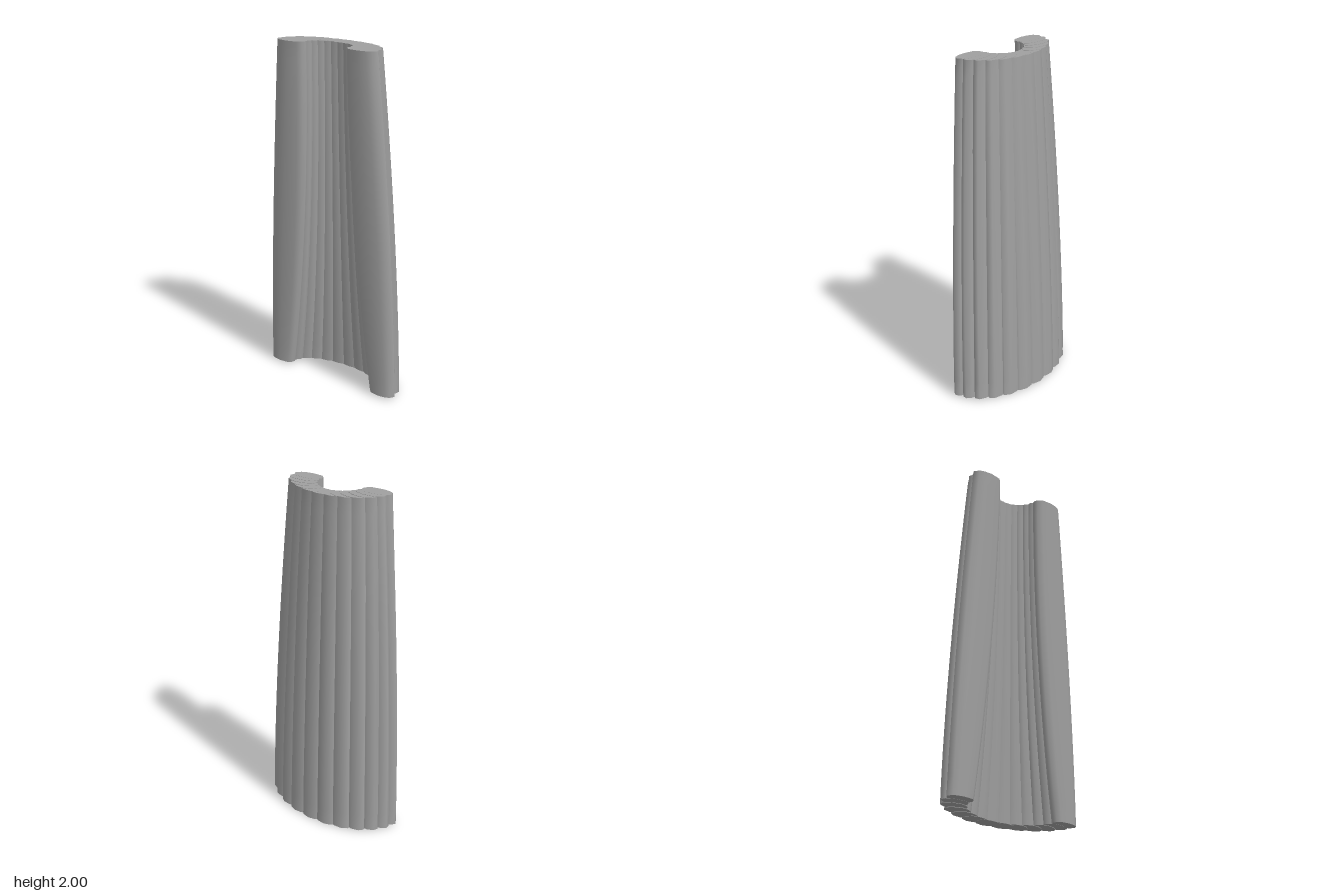
import * as THREE from 'three';
import { mergeVertices } from 'three/addons/utils/BufferGeometryUtils.js';

const LOBES = 13, ROWS = 20;
const mix = THREE.MathUtils.lerp;

// Half outline of one pleat: [fraction from outer to inner tip, half thickness]
const half = [[0, 0], [0.1, 0.6], [0.26, 0.86], [0.5, 1], [0.84, 0.85], [0.96, 0.45]];
const outline = [
  ...half,
  [1, 0],
  ...half.slice(1).reverse().map(([s, w]) => [s, -w]),
];

// Point of a pleat at angle a, height fraction t
function pleatPoint(a, t, s, w) {
  const ease = Math.pow(t, 1.6), settle = 1 - (1 - t) ** 2;
  const zc = mix(0.09, 0.127, t);
  const rx = mix(mix(0.455, 0.34, ease), mix(0.29, 0.145, settle), s);
  const rz = mix(mix(0.268, 0.213, ease), mix(0.165, 0.117, settle), s);
  const h = w * mix(0.044, 0.05, t), stretch = rx / rz;
  const side = Math.sin(a) ** 2;
  return new THREE.Vector3(
    rx * Math.sin(a) + h * stretch * Math.cos(a),
    mix(0.012 * side, 1.992 + 0.008 * side, t),
    zc - rz * Math.cos(a) + h * Math.sin(a)
  );
}

function geometryFrom(points, index) {
  const g = new THREE.BufferGeometry().setFromPoints(points);
  g.setIndex(index);
  return g;
}

// Smooth wall of a pleat, swept through its changing sections
function wallGeometry(a) {
  const points = [], index = [], n = outline.length;
  for (let r = 0; r <= ROWS; r++)
    for (const [s, w] of outline) points.push(pleatPoint(a, r / ROWS, s, w));
  for (let r = 0; r < ROWS; r++) {
    for (let i = 0; i < n; i++) {
      const p = r * n + i, q = r * n + (i + 1) % n;
      index.push(p, p + n, q, p + n, q + n, q);
    }
  }
  const g = mergeVertices(geometryFrom(points, index), 1e-5);
  g.computeVertexNormals();
  return g;
}

// Flat end of a pleat
function capGeometry(a, t) {
  const points = outline.map(([s, w]) => pleatPoint(a, t, s, w));
  const n = points.length, index = [];
  points.push(pleatPoint(a, t, 0.5, 0));
  for (let i = 0; i < n; i++) {
    const j = (i + 1) % n;
    if (t > 0.5) index.push(n, j, i);
    else index.push(n, i, j);
  }
  const g = geometryFrom(points, index);
  g.computeVertexNormals();
  return g;
}

export function createModel() {
  const model = new THREE.Group();
  model.name = 'pleatedDrape';
  const cloth = new THREE.MeshStandardMaterial({ color: 0xa0a0a0 });
  cloth.name = 'grey cloth';

  // Pleats fanned around a half oval, open to the front
  for (let k = 0; k < LOBES; k++) {
    const a = (k / (LOBES - 1) - 0.5) * Math.PI;
    const pleat = new THREE.Group();
    pleat.name = 'pleat' + (k + 1);
    const parts = { wall: wallGeometry(a), topEnd: capGeometry(a, 1), bottomEnd: capGeometry(a, 0) };
    for (const [name, g] of Object.entries(parts)) {
      const mesh = new THREE.Mesh(g, cloth);
      mesh.name = name;
      pleat.add(mesh);
    }
    model.add(pleat);
  }
  return model;
}
